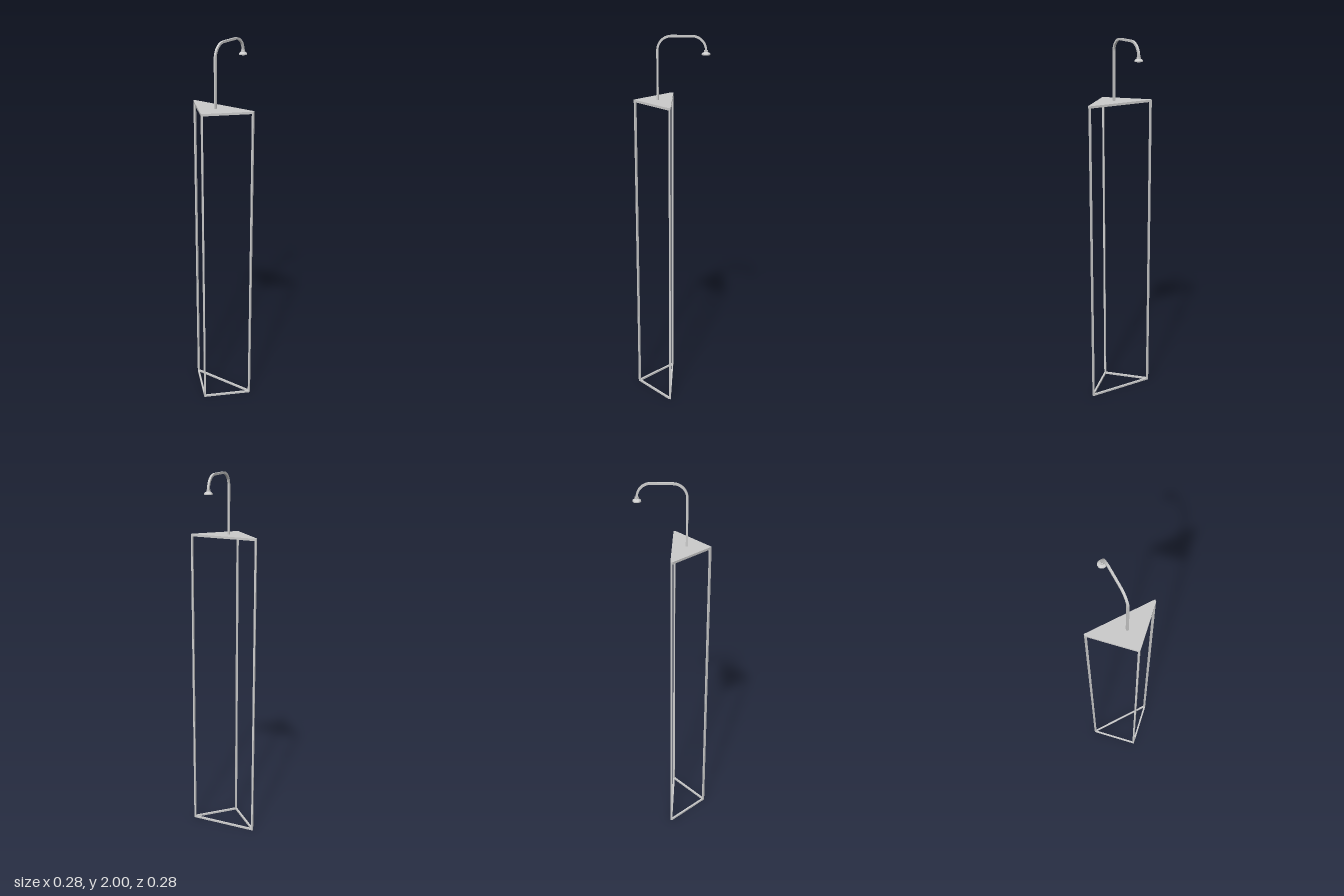
import * as THREE from 'three';
import { toCreasedNormals } from 'three/addons/utils/BufferGeometryUtils.js';

const MAT = new THREE.MeshStandardMaterial({ color: 0xcccccc });
const BAR = 0.01; // thickness of the frame tubes
const TOP = 1.674; // height of the frame including its plate
const PLATE = 0.002;

function add(parent, geometry, name) {
  const mesh = new THREE.Mesh(geometry, MAT);
  mesh.name = name;
  parent.add(mesh);
  return mesh;
}

// Triangular frame: right angle at (-x, +z), the tips cut square to the long side
function createFrame() {
  const frame = new THREE.Group();
  frame.name = 'frame';
  const height = TOP - PLATE;

  // Horizontal rails at the bottom and the top: [x, z, length, turn]
  const rails = [
    ['frontRail', -0.0085, 0.135, 0.263, 0],
    ['sideRail', -0.135, 0.0085, 0.263, Math.PI / 2],
    ['diagonalRail', -0.005, 0.004, 0.372, -Math.PI / 4],
  ];
  for (const y of [BAR / 2, height - BAR / 2]) {
    for (const [name, x, z, length, turn] of rails) {
      const rail = add(frame, new THREE.BoxGeometry(length, BAR, BAR), name);
      rail.position.set(x, y, z);
      rail.rotation.y = turn;
    }
  }

  // Upright posts: [x, z, turn]
  const posts = [
    ['cornerPost', -0.135, 0.135, 0],
    ['backPost', -0.133, -0.124, Math.PI / 4],
    ['frontPost', 0.123, 0.132, Math.PI / 4],
  ];
  for (const [name, x, z, turn] of posts) {
    const post = add(frame, new THREE.BoxGeometry(BAR, height, BAR), name);
    post.position.set(x, height / 2, z);
    post.rotation.y = turn;
  }

  // Thin cover plate, drawn in (x, -z) and laid flat
  const outline = new THREE.Shape([
    [-0.14, -0.14], [0.123, -0.14], [0.13, -0.132], [-0.133, 0.131], [-0.14, 0.124],
  ].map(([x, y]) => new THREE.Vector2(x, y)));
  const plate = new THREE.ExtrudeGeometry(outline, { depth: PLATE, bevelEnabled: false });
  plate.rotateX(-Math.PI / 2);
  plate.translate(0, height, 0);
  add(frame, plate, 'topPlate');
  return frame;
}

// Square shower pipe bent in one plane, with the head at its end
function createShower() {
  const shower = new THREE.Group();
  shower.name = 'shower';
  const half = 0.0055, bend = 0.07;
  const s0 = -0.075, s1 = 0.168; // distances of both legs from the middle
  const cy = 2 - half - bend, end = 1.922;
  const outer = bend + half, inner = bend - half;

  const side = new THREE.Shape();
  side.moveTo(s0 - half, TOP);
  side.lineTo(s0 - half, cy);
  side.absarc(s0 + bend, cy, outer, Math.PI, Math.PI / 2, true);
  side.absarc(s1 - bend, cy, outer, Math.PI / 2, 0, true);
  side.lineTo(s1 + half, end);
  side.lineTo(s1 - half, end);
  side.absarc(s1 - bend, cy, inner, 0, Math.PI / 2, false);
  side.absarc(s0 + bend, cy, inner, Math.PI / 2, Math.PI, false);
  side.lineTo(s0 + half, TOP);
  const pipe = new THREE.ExtrudeGeometry(side, { depth: 2 * half, bevelEnabled: false, curveSegments: 12 });
  pipe.translate(0, 0, -half);
  add(shower, toCreasedNormals(pipe, 0.6), 'pipe');

  // Head: short neck flaring into a flat rose
  const profile = [
    [0, 1.903], [0.0215, 1.903], [0.0215, 1.909], [0.016, 1.914], [0.01, 1.918], [0.01, 1.926], [0, 1.926],
  ].map(([r, y]) => new THREE.Vector2(r, y));
  const head = add(shower, toCreasedNormals(new THREE.LatheGeometry(profile, 32), 0.6), 'showerHead');
  head.position.x = s1;

  shower.rotation.y = Math.PI / 4;
  return shower;
}

export function createModel() {
  const model = new THREE.Group();
  model.name = 'outdoorShower';
  model.add(createFrame(), createShower());
  return model;
}
